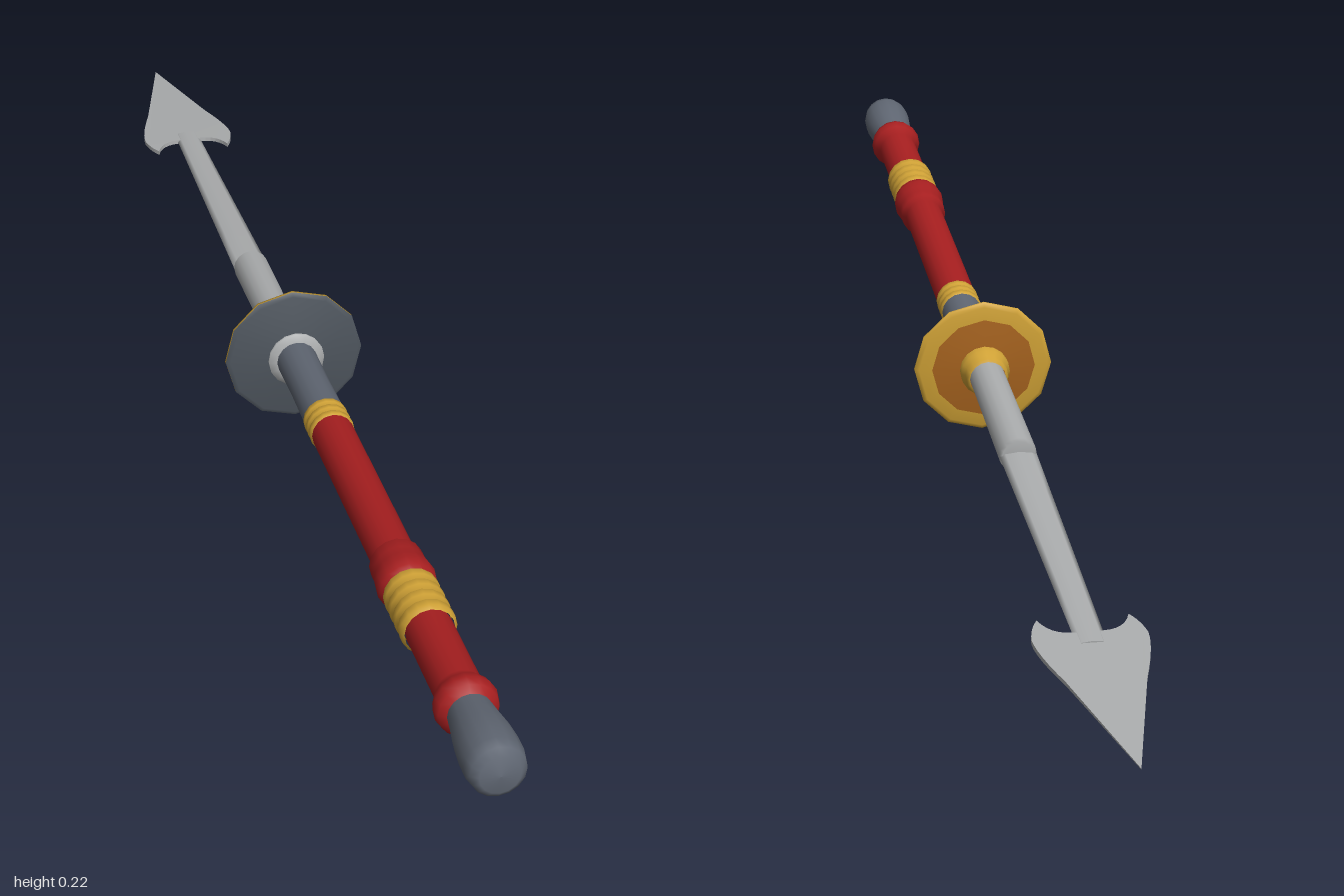
import * as THREE from 'three';

const mat = (name, color, side = THREE.FrontSide) => {
  const m = new THREE.MeshStandardMaterial({ color, side });
  m.name = name;
  return m;
};

export function createModel() {
  const red = mat('red lacquer', 0xa81f20);
  const gold = mat('gold', 0xd0a236);
  const slate = mat('slate grip', 0x606773);
  const dark = mat('dark guard face', 0x4b525a);
  const brown = mat('brown guard face', 0xa8641f);
  const steel = mat('steel', 0xabadae);

  const model = new THREE.Group();
  model.name = 'spear';
  const spear = new THREE.Group();
  spear.name = 'tiltedSpear';
  model.add(spear);

  const add = (name, geometry, material) => {
    const m = new THREE.Mesh(geometry, material);
    m.name = name;
    spear.add(m);
    return m;
  };
  // Turned part along z from [radius, z] pairs, z increasing
  const turn = (name, pts, material, sides = 16) => {
    const g = new THREE.LatheGeometry(pts.map(p => new THREE.Vector2(p[0], p[1])), sides);
    return add(name, g.rotateX(Math.PI / 2), material);
  };
  // Row of rounded bands
  const bands = (name, z0, z1, count, r) => {
    const pts = [[r - 0.004, z0]], step = (z1 - z0) / count;
    for (let i = 0; i < count; i++) {
      const z = z0 + i * step;
      pts.push([r, z + step * 0.25], [r, z + step * 0.75], [r - 0.004, z + step]);
    }
    turn(name, pts, gold);
  };

  // Butt cap
  turn('buttCap', [[0.026, 0.87], [0.03, 0.9], [0.034, 0.925], [0.036, 0.95],
    [0.036, 0.975], [0.033, 0.99], [0.024, 0.997], [0, 1.0]], slate);
  // Red grip
  turn('rearGrip', [[0.029, 0.705], [0.029, 0.835], [0.036, 0.85], [0.039, 0.862],
    [0.036, 0.874], [0.027, 0.88]], red);
  turn('frontGrip', [[0.028, 0.235], [0.028, 0.55], [0.034, 0.558], [0.034, 0.575],
    [0.036, 0.59], [0.038, 0.605], [0.036, 0.618], [0.03, 0.625]], red);
  bands('rearBands', 0.622, 0.712, 4, 0.035);
  bands('frontBands', 0.192, 0.24, 3, 0.03);
  turn('neck', [[0.028, 0.02], [0.027, 0.11], [0.028, 0.195]], slate);

  // Twelve-sided guard, with its washer and ferrule
  turn('guardFront', [[0.096, 0.014], [0.09, 0.018], [0.04, 0.026], [0.02, 0.028]], dark, 12);
  turn('guardRim', [[0.072, 0.005], [0.09, 0.007], [0.096, 0.01], [0.096, 0.014]], gold, 12);
  turn('guardBack', [[0.02, 0], [0.04, 0.001], [0.072, 0.005]], brown, 12);
  turn('guardWasher', [[0.038, 0.022], [0.039, 0.031], [0.027, 0.034]], steel);
  turn('guardFerrule', [[0.025, -0.03], [0.029, -0.028], [0.029, -0.016], [0.034, -0.012],
    [0.034, 0.004]], gold);

  // Socket tube holding the blade
  turn('socket', [[0, -0.265], [0.022, -0.265], [0.025, -0.26], [0.024, -0.02]], steel);

  // Flat shank with a shallow lens section, narrowing to the head
  const shank = new THREE.CylinderGeometry(1, 1, 1, 8, 4);
  shank.rotateX(Math.PI / 2);
  const p = shank.attributes.position;
  for (let i = 0; i < p.count; i++) {
    const t = 0.5 - p.getZ(i);
    p.setXYZ(i, p.getX(i) * (0.025 - 0.007 * t), p.getY(i) * (0.007 - 0.002 * t), -0.25 - 0.49 * t);
  }
  shank.computeVertexNormals();
  add('shank', shank, steel);

  // Barbed head outline, mirrored about the centre line
  const shape = new THREE.Shape();
  shape.moveTo(0, 1.0);
  shape.quadraticCurveTo(0.026, 0.9, 0.047, 0.82);
  shape.quadraticCurveTo(0.069, 0.755, 0.069, 0.725);
  shape.quadraticCurveTo(0.066, 0.7, 0.055, 0.682);
  shape.quadraticCurveTo(0.045, 0.715, 0.018, 0.715);
  shape.lineTo(-0.018, 0.715);
  shape.quadraticCurveTo(-0.045, 0.715, -0.055, 0.682);
  shape.quadraticCurveTo(-0.066, 0.7, -0.069, 0.725);
  shape.quadraticCurveTo(-0.069, 0.755, -0.047, 0.82);
  shape.quadraticCurveTo(-0.026, 0.9, 0, 1.0);
  const head = new THREE.ExtrudeGeometry(shape, { depth: 0.006, bevelEnabled: false, curveSegments: 6 });
  head.translate(0, 0, -0.003).rotateX(-Math.PI / 2);
  // Thin toward the tip
  const h = head.attributes.position;
  for (let i = 0; i < h.count; i++) h.setY(i, h.getY(i) * (0.2 + 0.8 * Math.min(1, (1 + h.getZ(i)) / 0.25)));
  head.computeVertexNormals();
  add('spearhead', head, steel);

  // Lean the whole spear so the butt sits higher than the tip
  spear.rotation.x = -0.0925;
  spear.position.y = 0.096;
  return model;
}
